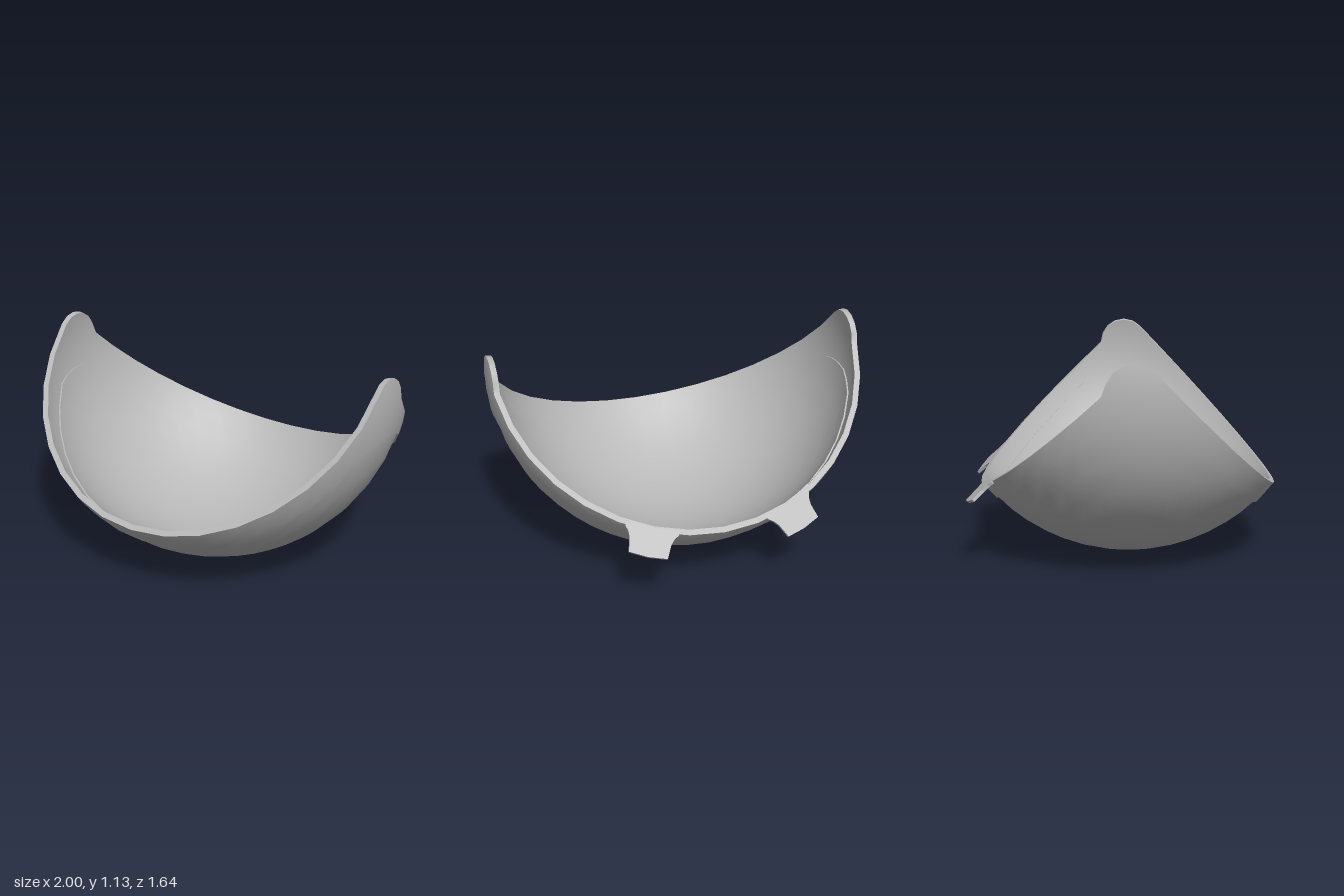
import * as THREE from 'three';

const CENTER = new THREE.Vector3(0, 0.99, 0.03); // centre of the spherical shell

// Side-profile cutting lines: n = line normal, t = direction down the line, as [z, y]
const FRONT = { n: [0.722, 0.692], t: [0.692, -0.722] };
const BACK = { n: [-0.68, 0.733], t: [-0.733, -0.68] };

// Unit direction on the +x half of the sphere from side-profile coordinates
function onSphere(z, y) {
  return new THREE.Vector3(Math.sqrt(Math.max(0, 1 - z * z - y * y)), y, z).normalize();
}

// Planar arc across the sphere, from the middle (x = 0) up to distance vTop along the line
function planeArc({ n, t }, dist, vTop, steps = 8) {
  const h = Math.sqrt(1 - dist * dist);
  const bTop = Math.acos(vTop / h);
  const pts = [];
  for (let i = 0; i <= steps; i++) {
    const v = h * Math.cos((bTop * i) / steps);
    pts.push(onSphere(n[0] * dist + t[0] * v, n[1] * dist + t[1] * v));
  }
  pts[0].x = 0;
  return pts;
}

// Closed boundary loop: front arc, side points, back arc, then the mirror image
function boundaryLoop(front, side, back) {
  const half = [...front, ...side.map(([z, y]) => onSphere(z, y)), ...back.reverse()];
  const mirrored = half.slice(1, -1).reverse().map((p) => new THREE.Vector3(-p.x, p.y, p.z));
  return [...half, ...mirrored];
}

// Rows of directions blended from one loop to another
function blendRows(a, b, count) {
  const rows = [];
  for (let j = 0; j <= count; j++) {
    rows.push(a.map((p, i) => {
      const q = b[i], ang = p.angleTo(q), s = Math.sin(ang), f = j / count;
      return p.clone().multiplyScalar(Math.sin((1 - f) * ang) / s)
        .addScaledVector(q, Math.sin(f * ang) / s).normalize();
    }));
  }
  return rows;
}

// Surface through closed rows of points; flip turns it inside out
function skin(rows, flip) {
  const n = rows[0].length, pos = [], index = [];
  rows.forEach((row) => row.forEach((p) => pos.push(p.x, p.y, p.z)));
  for (let j = 0; j < rows.length - 1; j++) {
    for (let i = 0; i < n; i++) {
      const a = j * n + i, b = j * n + ((i + 1) % n), c = a + n, d = b + n;
      if (flip) index.push(a, b, c, b, d, c);
      else index.push(a, c, b, b, c, d);
    }
  }
  const g = new THREE.BufferGeometry();
  g.setAttribute('position', new THREE.Float32BufferAttribute(pos, 3));
  g.setIndex(index);
  g.computeVertexNormals();
  return g;
}

// Thick spherical shell patch: outer skin, inner skin and edge walls
function shell(name, rows, rOut, rIn, material, lowerWall) {
  const group = new THREE.Group();
  group.name = name;
  const at = (row, r) => row.map((p) => p.clone().multiplyScalar(r));
  const add = (part, geometry) => {
    const m = new THREE.Mesh(geometry, material);
    m.name = name + part;
    group.add(m);
  };
  const curved = (r, flip) => {
    const g = skin(rows.map((row) => at(row, r)), flip);
    const normals = rows.flat().flatMap((p) => (flip ? [-p.x, -p.y, -p.z] : [p.x, p.y, p.z]));
    g.setAttribute('normal', new THREE.Float32BufferAttribute(normals, 3));
    return g;
  };
  add('Outside', curved(rOut, false));
  add('Inside', curved(rIn, true));
  add('UpperEdge', skin([at(rows[0], rIn), at(rows[0], rOut)], false));
  const last = rows[rows.length - 1];
  if (lowerWall) add('LowerEdge', skin([at(last, rOut), at(last, rIn)], false));
  group.position.copy(CENTER);
  return group;
}

// Flared flat tab lying in the plane of the back rim
function rimTab(side, material) {
  const mid = 0.375;
  const polar = (r, a) => new THREE.Vector2(side * r * Math.sin(mid + a), r * Math.cos(mid + a));
  const outline = [];
  const profile = [[0.975, 0.138], [1.0, 0.135], [1.02, 0.115], [1.05, 0.1], [1.122, 0.087]];
  profile.forEach(([r, a]) => outline.push(polar(r, -a)));
  outline.push(polar(1.126, 0));
  [...profile].reverse().forEach(([r, a]) => outline.push(polar(r, a)));
  outline.push(polar(0.975, 0));
  const g = new THREE.ExtrudeGeometry(new THREE.Shape(outline), { depth: 0.015, bevelEnabled: false });
  g.translate(0, 0, 0.093 - 0.015);
  g.applyMatrix4(new THREE.Matrix4().makeBasis(
    new THREE.Vector3(1, 0, 0),
    new THREE.Vector3(0, BACK.t[1], BACK.t[0]),
    new THREE.Vector3(0, BACK.n[1], BACK.n[0])
  ));
  const m = new THREE.Mesh(g, material);
  m.name = side > 0 ? 'leftTab' : 'rightTab';
  m.position.copy(CENTER);
  return m;
}

export function createModel() {
  const grey = new THREE.MeshStandardMaterial({ color: 0xb8b8b8 });
  grey.name = 'plain grey';

  // Outer rim with a rounded ear on each side
  const ear = [];
  for (let i = 1; i <= 5; i++) {
    const a = THREE.MathUtils.degToRad(43.8 + (i * 136.2) / 6);
    ear.push([0.139 * Math.cos(a), 0.139 * Math.sin(a)]);
  }
  const rim = boundaryLoop(planeArc(FRONT, 0.139, 0), ear, planeArc(BACK, 0.093, 0.105));

  // Seam between the rim band and the bowl
  const shoulder = [[0.14, -0.193], [0.07, -0.178], [0, -0.173], [-0.09, -0.178], [-0.16, -0.205]];
  const seam = boundaryLoop(planeArc(FRONT, 0, 0.303), shoulder, planeArc(BACK, -0.01, 0.352));
  const bottom = seam.map(() => new THREE.Vector3(0, -1, 0));

  const model = new THREE.Group();
  model.name = 'bowlGuard';
  model.add(shell('rimBand', blendRows(rim, seam, 3), 1.0, 0.97, grey, true));
  model.add(shell('bowl', blendRows(seam, bottom, 8), 0.99, 0.962, grey, false));
  for (const side of [1, -1]) model.add(rimTab(side, grey));
  return model;
}
